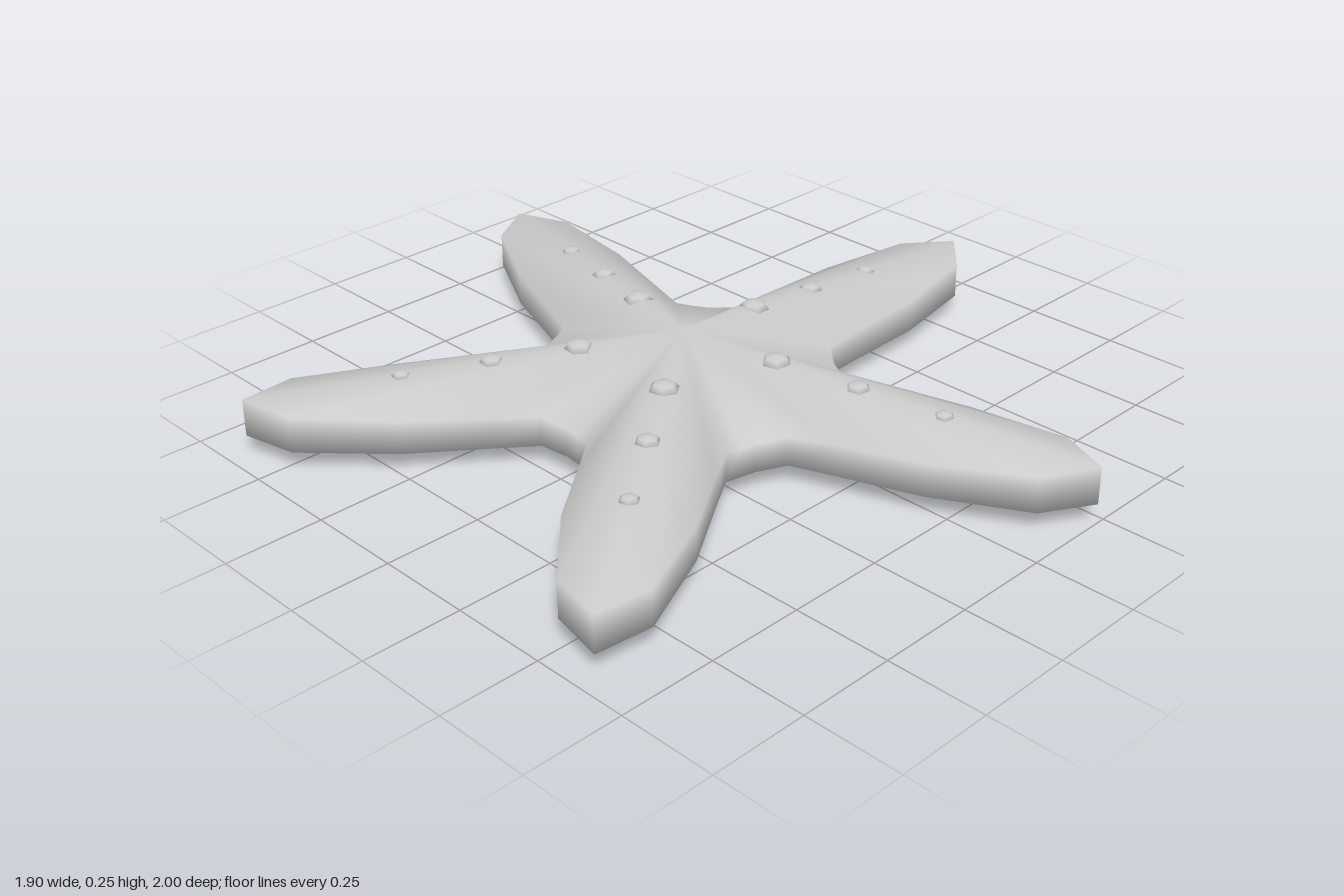
import * as THREE from 'three';

const CENTRE_X = -0.1;
const ARMS = 5;
const STEP = Math.PI / 30; // 6 degrees, 12 steps per arm

// Outline radius and upper rim height from arm tip to valley, every 6 degrees
const RADII = [1.05, 0.945, 0.705, 0.5, 0.394, 0.383, 0.376];
const RIM = [0.147, 0.143, 0.136, 0.131, 0.127, 0.125, 0.125];
const TOP = 0.25, LOW_RIM = 0.05;

// Smooth star: top fan, side wall and bottom fan sharing vertices
function starGeometry() {
  const n = ARMS * 12;
  const pos = [0, TOP, 0, 0, 0, 0];
  const index = [];
  for (let i = 0; i < n; i++) {
    const k = i % 12, m = Math.min(k, 12 - k);
    const x = Math.cos(i * STEP) * RADII[m];
    const z = Math.sin(i * STEP) * RADII[m];
    pos.push(x, RIM[m], z, x, LOW_RIM, z);
    const a = 2 + i * 2, b = 2 + ((i + 1) % n) * 2;
    index.push(0, b, a, a, b, b + 1, a, b + 1, a + 1, 1, a + 1, b + 1);
  }
  const geo = new THREE.BufferGeometry();
  geo.setAttribute('position', new THREE.Float32BufferAttribute(pos, 3));
  geo.setIndex(index);
  geo.computeVertexNormals();
  return geo;
}

export function createModel() {
  const material = new THREE.MeshStandardMaterial({ color: 0xcccccc });
  const model = new THREE.Group();
  model.name = 'starfish';

  const body = new THREE.Mesh(starGeometry(), material);
  body.name = 'body';
  body.position.x = CENTRE_X;
  model.add(body);

  // Three shrinking bumps along the ridge of every arm
  const bumpGeo = new THREE.SphereGeometry(1, 6, 4);
  const bumps = [[0.25, 0.038], [0.46, 0.031], [0.675, 0.025]];
  for (let arm = 0; arm < ARMS; arm++) {
    const row = new THREE.Group();
    row.name = 'armBumps';
    row.position.x = CENTRE_X;
    row.rotation.y = arm * Math.PI * 2 / ARMS;
    for (const [r, size] of bumps) {
      const bump = new THREE.Mesh(bumpGeo, material);
      bump.name = 'bump';
      bump.position.set(r, TOP - 0.098 * r - size * 0.12, 0);
      bump.scale.set(size, size * 0.5, size);
      row.add(bump);
    }
    model.add(row);
  }
  return model;
}
